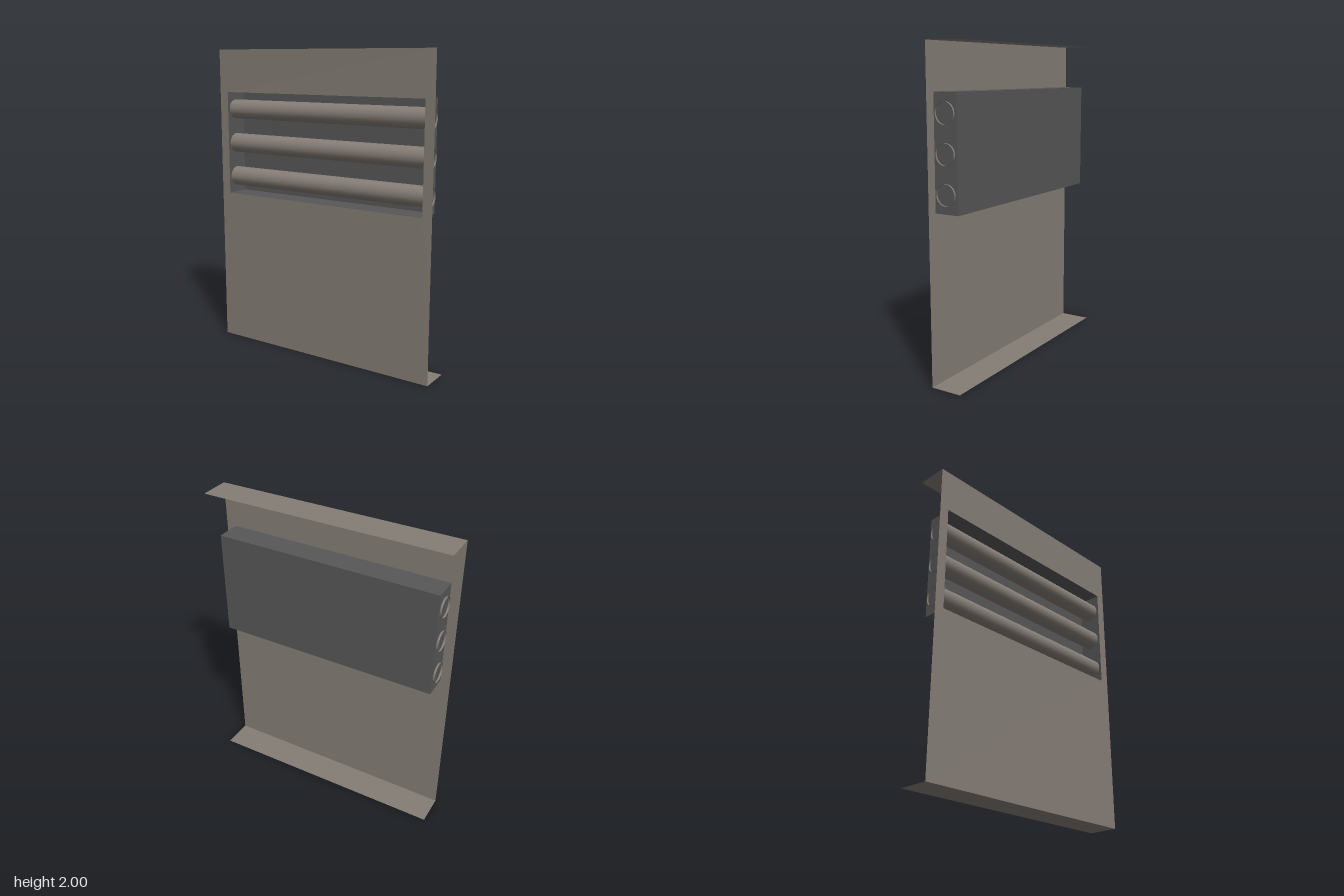
import * as THREE from 'three';

const material = (name, color) =>
  new THREE.MeshStandardMaterial({ name, color, side: THREE.DoubleSide });

export function createModel() {
  const group = new THREE.Group();
  group.name = 'ventedPanel';
  const panelGrey = material('warm grey metal', 0x857d76);
  const darkGrey = material('dark grey housing', 0x575757);

  const W = 0.8, H = 2, FRONT = 0.1;
  const hole = { x: 0.737, y0: 1.032, y1: 1.72, back: -0.06 };
  const holeH = hole.y1 - hole.y0, holeY = (hole.y0 + hole.y1) / 2;
  const depth = FRONT - hole.back, midZ = (FRONT + hole.back) / 2;

  function add(name, geometry, mat, x, y, z, rx = 0, ry = 0, rz = 0) {
    const mesh = new THREE.Mesh(geometry, mat);
    mesh.name = name;
    mesh.position.set(x, y, z);
    mesh.rotation.set(rx, ry, rz);
    group.add(mesh);
  }

  // Front sheet with a rectangular opening
  const sheet = new THREE.Shape([
    new THREE.Vector2(-W, 0), new THREE.Vector2(W, 0),
    new THREE.Vector2(W, H), new THREE.Vector2(-W, H),
  ]);
  sheet.holes.push(new THREE.Path([
    new THREE.Vector2(-hole.x, hole.y0), new THREE.Vector2(-hole.x, hole.y1),
    new THREE.Vector2(hole.x, hole.y1), new THREE.Vector2(hole.x, hole.y0),
  ]));
  add('frontSheet', new THREE.ShapeGeometry(sheet), panelGrey, 0, 0, FRONT);

  // Folded flanges at the top and bottom
  const flange = new THREE.PlaneGeometry(2 * W, 2 * FRONT);
  add('topFlange', flange, panelGrey, 0, H, 0, -Math.PI / 2);
  add('bottomFlange', flange, panelGrey, 0, 0, 0, -Math.PI / 2);

  // Recessed housing, open at the front
  add('housingBack', new THREE.PlaneGeometry(2 * hole.x, holeH), darkGrey,
    0, holeY, hole.back, 0, Math.PI);
  const cap = new THREE.PlaneGeometry(2 * hole.x, depth);
  add('housingTop', cap, darkGrey, 0, hole.y1, midZ, -Math.PI / 2);
  add('housingBottom', cap, darkGrey, 0, hole.y0, midZ, Math.PI / 2);
  const wall = new THREE.PlaneGeometry(depth, holeH);
  for (const s of [-1, 1])
    add(s > 0 ? 'housingLeft' : 'housingRight', wall, darkGrey,
      s * hole.x, holeY, midZ, 0, s * Math.PI / 2);

  // Three open tubes whose ends poke slightly through the housing walls
  const tube = new THREE.CylinderGeometry(0.064, 0.064, 2 * hole.x + 0.024, 32, 1, true);
  for (let i = 0; i < 3; i++)
    add('tube' + (i + 1), tube, panelGrey, 0, 1.604 - i * 0.23, 0.02, 0, 0, Math.PI / 2);

  return group;
}
